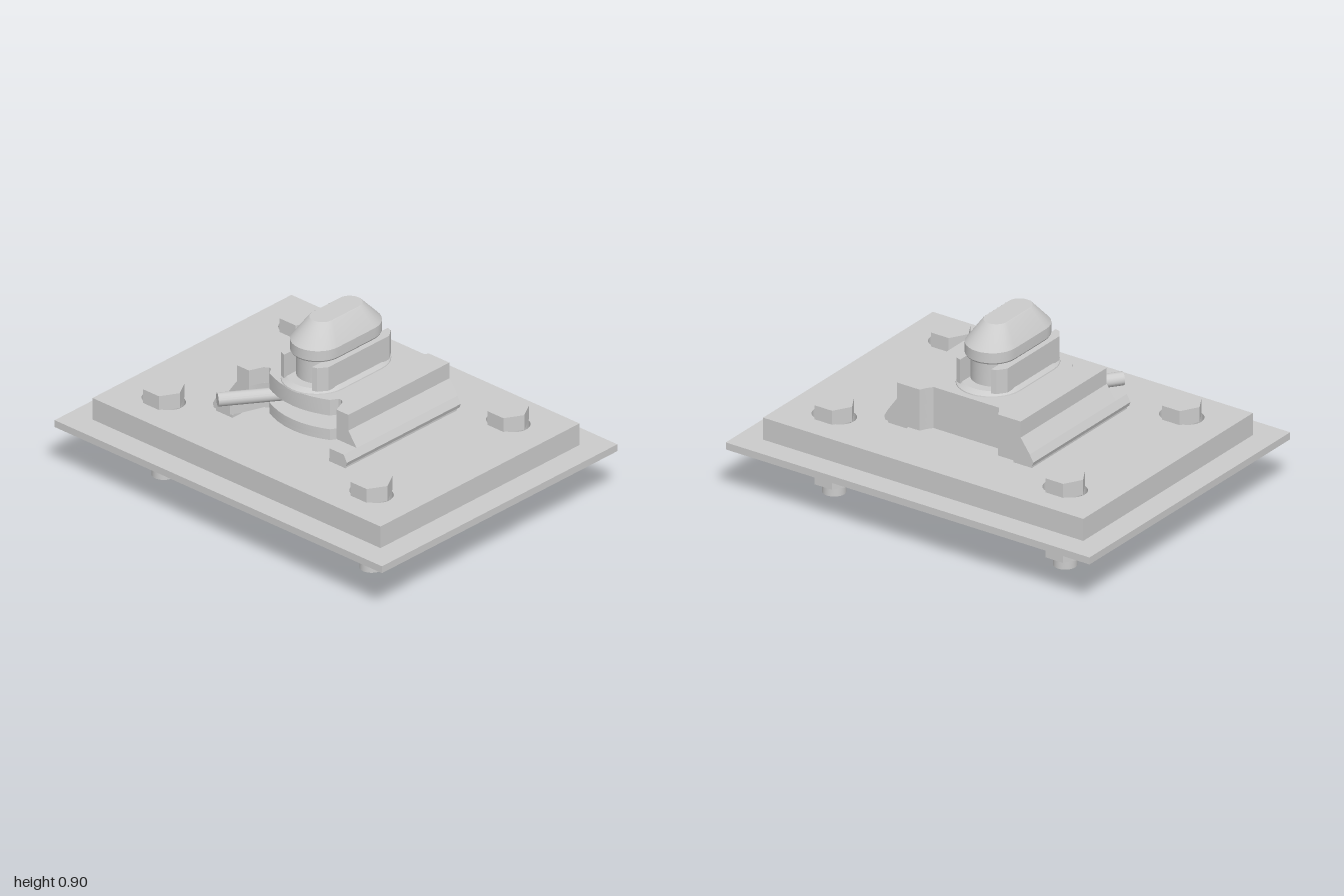
import * as THREE from 'three';
import { toCreasedNormals } from 'three/addons/utils/BufferGeometryUtils.js';

const material = new THREE.MeshStandardMaterial({ color: 0xcccccc });

function add(parent, name, geometry, x = 0, y = 0, z = 0) {
  const mesh = new THREE.Mesh(geometry, material);
  mesh.name = name;
  mesh.position.set(x, y, z);
  parent.add(mesh);
  return mesh;
}

// Upright cylinder or prism between two heights
function post(parent, name, r, y0, y1, sides = 32, turn = 0) {
  const g = toCreasedNormals(new THREE.CylinderGeometry(r, r, y1 - y0, sides), 0.5);
  g.rotateY(turn);
  return add(parent, name, g, 0, (y0 + y1) / 2, 0);
}

// Plan outline (x, z) raised from y0 to y1
function slab(shape, y0, y1) {
  const g = new THREE.ExtrudeGeometry(shape, { depth: y1 - y0, bevelEnabled: false, curveSegments: 16 });
  g.rotateX(Math.PI / 2);
  g.translate(0, y1, 0);
  return g;
}

const polygon = (pts) => new THREE.Shape(pts.map(([x, z]) => new THREE.Vector2(x, z)));

function rectangle(w, d) {
  return polygon([[-w, -d], [w, -d], [w, d], [-w, d]]);
}

// Round-ended slot along x
function slot(cx, cz, half, r) {
  const p = new THREE.Path();
  p.absarc(cx + half, cz, r, -Math.PI / 2, Math.PI / 2);
  p.absarc(cx - half, cz, r, Math.PI / 2, Math.PI * 1.5);
  p.closePath();
  return p;
}

// Loft of round-ended sections: each ring is [y, half width, half length]
function oblongLoft(rings) {
  const n = 16, count = 2 * (n + 1), pos = [], idx = [];
  for (const [y, r, len] of rings) {
    for (let i = 0; i < count; i++) {
      const end = i <= n ? 1 : -1;
      const a = ((i <= n ? i : i - 1) / n) * Math.PI;
      pos.push(r * Math.cos(a), y, r * Math.sin(a) + end * (len - r));
    }
  }
  for (let k = 0; k < rings.length - 1; k++) {
    for (let i = 0; i < count; i++) {
      const a = k * count + i, b = k * count + (i + 1) % count;
      idx.push(a, a + count, b, b, a + count, b + count);
    }
  }
  const top = (rings.length - 1) * count;
  for (let i = 1; i < count - 1; i++) {
    idx.push(0, i, i + 1, top, top + i + 1, top + i);
  }
  const g = new THREE.BufferGeometry();
  g.setAttribute('position', new THREE.Float32BufferAttribute(pos, 3));
  g.setIndex(idx);
  return toCreasedNormals(g, 0.4);
}

// Half outlines of the housing, from the front centre to the outer front corner
const arc = [0, 0.05, 0.1, 0.15, 0.185].map((x) => [x, 0.285 - 1.35 * x * x]);
const notch = [[0.205, 0.205], [0.22, 0.203], [0.24, 0.215], [0.28, 0.325]];
const footFront = [...arc, ...notch, [0.305, 0.37], [0.41, 0.37]];
const topFront = [...arc, ...notch.slice(0, 3), [0.268, 0.285], [0.41, 0.285]];
const pocketFront = [[0, -0.1], [0.15, -0.1], [0.25, 0.05], [0.25, 0.235], [0.268, 0.285], [0.41, 0.285]];
const back = [[0.41, -0.38], [0.215, -0.38], [0.2, -0.35], [0.18, -0.322], [0, -0.322]];

// One layer of the housing; its outer sides lean from w0 to w1
function housingLayer(front, y0, y1, w0, w1) {
  const half = [...front, ...back];
  const mirrored = half.slice(1, -1).reverse().map(([x, z]) => [-x, z]);
  const g = slab(polygon([...half, ...mirrored]), y0, y1);
  const p = g.attributes.position;
  for (let i = 0; i < p.count; i++) {
    if (Math.abs(p.getX(i)) > 0.4) {
      const w = p.getY(i) > (y0 + y1) / 2 ? w1 : w0;
      p.setX(i, Math.sign(p.getX(i)) * w);
    }
  }
  return toCreasedNormals(g, 0.5);
}

function createBolt(x, z) {
  const bolt = new THREE.Group();
  bolt.name = 'bolt';
  bolt.position.set(x, 0, z);
  const hex = Math.PI / 6;
  post(bolt, 'boltHead', 0.098, 0.375, 0.45, 6, hex);
  post(bolt, 'boltSleeve', 0.075, 0.2, 0.375);
  post(bolt, 'springWasher', 0.115, 0.19, 0.205);
  post(bolt, 'flatWasher', 0.14, 0.17, 0.19);
  post(bolt, 'nut', 0.098, 0.055, 0.17, 6, hex);
  post(bolt, 'boltEnd', 0.055, 0, 0.06);
  return bolt;
}

export function createModel() {
  const model = new THREE.Group();
  model.name = 'twistLockMount';
  const corners = [[1, 1], [1, -1], [-1, 1], [-1, -1]].map(([a, b]) => [a * 0.635, b * 0.45]);

  // Plates and bolts
  add(model, 'basePlate', slab(rectangle(1, 0.775), 0.235, 0.27));
  const upper = rectangle(0.88, 0.655);
  for (const [x, z] of corners) {
    upper.holes.push(slot(x, z, 0.032, 0.076));
    model.add(createBolt(x, z));
  }
  add(model, 'upperPlate', toCreasedNormals(slab(upper, 0.27, 0.38), 0.5));

  // Housing
  const housing = new THREE.Group();
  housing.name = 'housing';
  model.add(housing);
  add(housing, 'housingBase', housingLayer(footFront, 0.395, 0.415, 0.403, 0.41));
  add(housing, 'housingFlare', housingLayer(footFront, 0.415, 0.45, 0.41, 0.39));
  add(housing, 'leverPocket', housingLayer(pocketFront, 0.45, 0.52, 0.39, 0.34));
  add(housing, 'housingTop', housingLayer(topFront, 0.52, 0.6, 0.34, 0.34));
  for (const s of [-1, 1]) {
    add(housing, 'footRail', new THREE.BoxGeometry(0.1, 0.016, 0.735), s * 0.345, 0.388, -0.003);
  }

  // Collar with two cheeks around the neck
  add(model, 'collarFlange', oblongLoft([[0.598, 0.16, 0.29], [0.605, 0.158, 0.288], [0.62, 0.143, 0.262]]));
  add(model, 'collarNeck', oblongLoft([[0.615, 0.105, 0.215], [0.735, 0.105, 0.215]]));
  for (const s of [-1, 1]) {
    const cheek = [[0.085, -0.25], [0.11, -0.242], [0.14, -0.2], [0.14, 0.2], [0.11, 0.242], [0.085, 0.25]];
    const pts = cheek.map(([x, z]) => [s * x, z]);
    add(model, 'collarCheek', toCreasedNormals(slab(polygon(pts), 0.615, 0.735), 0.4));
  }

  // Turning shaft, locking head and lever
  post(model, 'shaftFoot', 0.11, 0.38, 0.396);
  post(model, 'shaft', 0.068, 0.38, 0.76);
  add(model, 'lockingHead', oblongLoft([
    [0.742, 0.12, 0.24], [0.75, 0.125, 0.245], [0.8, 0.125, 0.245], [0.897, 0.062, 0.152], [0.9, 0.058, 0.148],
  ]));
  const inner = new THREE.Vector3(-0.03, 0.487, 0.02);
  const outer = new THREE.Vector3(-0.327, 0.487, 0.428);
  const direction = outer.clone().sub(inner);
  const lever = add(model, 'lever', toCreasedNormals(new THREE.CylinderGeometry(0.032, 0.032, direction.length(), 24), 0.5));
  lever.position.copy(inner).add(outer).multiplyScalar(0.5);
  lever.quaternion.setFromUnitVectors(new THREE.Vector3(0, 1, 0), direction.normalize());

  return model;
}
